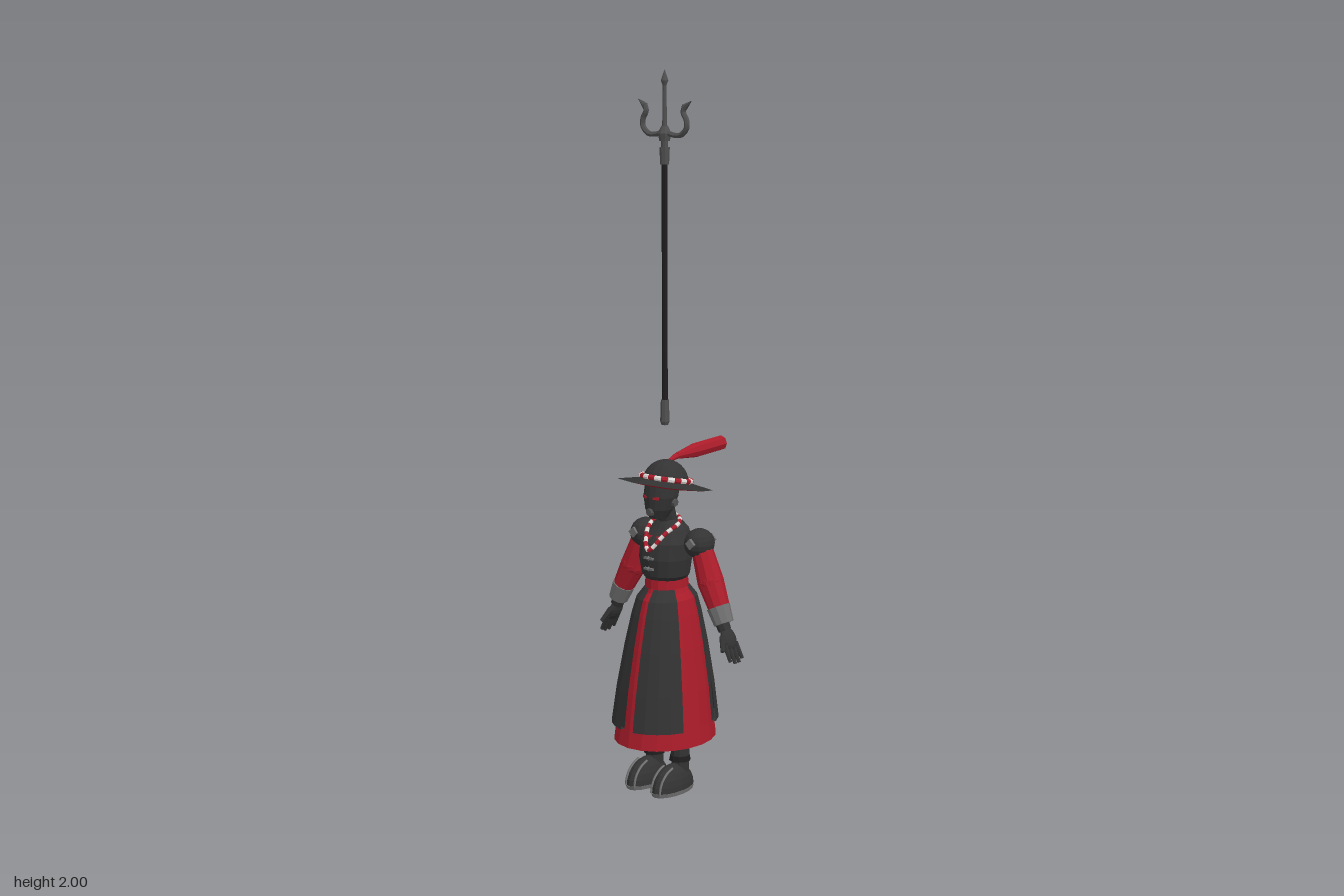
import * as THREE from 'three';

const mat = (name, color, side = THREE.FrontSide) => {
  const m = new THREE.MeshStandardMaterial({ color, side });
  m.name = name;
  return m;
};

export function createModel() {
  const dark = mat('charcoal cloth', 0x333333, THREE.DoubleSide);
  const black = mat('black shaft', 0x1f1d1d);
  const red = mat('red cloth', 0xaa1c2a, THREE.DoubleSide);
  const grey = mat('grey trim', 0x707070);
  const steel = mat('dark steel', 0x505050);
  const white = mat('white beads', 0xdedad6);
  const root = new THREE.Group();
  const V = (x, y, z) => new THREE.Vector3(x, y, z);
  const rad = THREE.MathUtils.degToRad;

  // faceted mesh
  function add(name, geo, m, pos = [0, 0, 0], parent = root) {
    const g = geo.index ? geo.toNonIndexed() : geo;
    g.computeVertexNormals();
    const mesh = new THREE.Mesh(g, m);
    mesh.name = name;
    mesh.position.set(...pos);
    parent.add(mesh);
    return mesh;
  }
  function group(name, pos, parent = root) {
    const g = new THREE.Group();
    g.name = name;
    g.position.set(...pos);
    parent.add(g);
    return g;
  }
  // tapered cylinder from a to b
  function limb(name, a, b, ra, rb, m, n = 10, parent = root) {
    const d = b.clone().sub(a);
    const mesh = add(name, new THREE.CylinderGeometry(rb, ra, d.length(), n), m, [0, 0, 0], parent);
    mesh.position.copy(a).add(b).multiplyScalar(0.5);
    mesh.quaternion.setFromUnitVectors(V(0, 1, 0), d.normalize());
    return mesh;
  }
  const ball = (name, r, m, pos, parent) =>
    add(name, new THREE.SphereGeometry(1, 14, 10).scale(...r), m, pos, parent);

  // stacked ellipses: [y, rx, rz, cz], bottom to top
  function loft(name, rows, m, n = 16) {
    const pts = rows.map((r, i) => new THREE.Vector2(1, i));
    const g = new THREE.LatheGeometry(pts, n);
    const p = g.attributes.position;
    for (let i = 0; i < p.count; i++) {
      const [y, rx, rz, cz] = rows[Math.round(p.getY(i))];
      p.setXYZ(i, p.getX(i) * rx, y, p.getZ(i) * rz + cz);
    }
    return add(name, g, m);
  }
  // closed string of beads in two colours
  function beads(name, curve, count, r, parent = root) {
    const g = group(name, [0, 0, 0], parent);
    for (let i = 0; i < count; i++) {
      const a = curve.getPointAt(i / count), b = curve.getPointAt((i + 1) / count);
      limb('bead', a, b, r, r, i % 2 ? white : red, 8, g);
    }
  }

  // skirt and its four overlaid panels
  const skirtRows = [[0.135, 0.15], [0.129, 0.2], [0.119, 0.3], [0.102, 0.42], [0.086, 0.51], [0.075, 0.555], [0.054, 0.585]];
  function skirtPart(name, profile, m, seg, start, len) {
    const g = new THREE.LatheGeometry(profile.map(([r, y]) => new THREE.Vector2(r, y)), seg, start, len);
    const p = g.attributes.position;
    for (let i = 0; i < p.count; i++) {
      p.setZ(i, p.getZ(i) * 1.15 + 0.043 - p.getY(i) * 0.02);
    }
    add(name, g, m);
  }
  skirtPart('skirt', skirtRows, red, 20, 0, Math.PI * 2);
  const outer = skirtRows.slice(1).map(([r, y]) => [r + 0.004 + (0.585 - y) * 0.022, y]);
  const inner = skirtRows.slice(1).map(([r, y]) => [r + 0.001, y]).reverse();
  for (const deg of [9, 115, 189, 295]) {
    skirtPart('skirtPanel', [...outer, ...inner, outer[0]], dark, 4, rad(deg), rad(56));
  }

  // sash, bodice, neck and head
  loft('sash', [[0.565, 0.066, 0.074, 0.032], [0.585, 0.057, 0.066, 0.032], [0.612, 0.055, 0.064, 0.033]], red);
  loft('bodice', [[0.605, 0.05, 0.06, 0.033], [0.622, 0.068, 0.066, 0.036], [0.67, 0.077, 0.071, 0.037],
    [0.715, 0.077, 0.066, 0.034], [0.75, 0.06, 0.048, 0.022], [0.775, 0.03, 0.03, 0.022]], dark);
  limb('neck', V(0, 0.76, 0.025), V(0, 0.83, 0.045), 0.027, 0.025, dark);
  loft('head', [[0.783, 0.001, 0.001, 0.065], [0.785, 0.024, 0.028, 0.066], [0.81, 0.039, 0.041, 0.062],
    [0.845, 0.048, 0.049, 0.056], [0.89, 0.046, 0.048, 0.05]], dark);
  for (const s of [1, -1]) {
    const eye = add('eye', new THREE.BoxGeometry(0.018, 0.007, 0.004), red, [s * 0.02, 0.845, 0.1]);
    eye.rotation.y = s * 0.42;
    limb('earDisc', V(s * 0.042, 0.83, 0.05), V(s * 0.05, 0.83, 0.05), 0.013, 0.01, steel, 8);
  }
  limb('mouthGuard', V(0, 0.805, 0.09), V(0, 0.805, 0.108), 0.014, 0.01, steel, 8);

  // neckline
  const tri = new THREE.Shape([new THREE.Vector2(-0.032, 0.046), new THREE.Vector2(0, 0), new THREE.Vector2(0.032, 0.046)]);
  add('neckScarf', new THREE.ShapeGeometry(tri), red, [0, 0.697, 0.109]).rotation.x = -0.62;
  const neckPts = [[0, 0.697, 0.11], [0.034, 0.745, 0.076], [0.043, 0.768, 0.03], [0, 0.778, -0.006],
    [-0.043, 0.768, 0.03], [-0.034, 0.745, 0.076]];
  beads('necklace', new THREE.CatmullRomCurve3(neckPts.map(p => V(...p)), true), 24, 0.006);
  for (const y of [0.645, 0.675]) {
    add('clasp', new THREE.BoxGeometry(0.032, 0.006, 0.008), grey, [0, y, 0.107]);
    add('claspKnob', new THREE.OctahedronGeometry(0.008), grey, [0, y, 0.108]);
  }

  // arms and legs
  for (const s of [1, -1]) {
    const P = (x, y, z) => V(s * x, y, z);
    const arm = group(s > 0 ? 'leftArm' : 'rightArm', [0, 0, 0]);
    ball('shoulderPuff', [0.042, 0.042, 0.045], dark, [s * 0.1, 0.716, 0.01], arm);
    for (const f of [1, -1]) {
      const stud = add('shoulderStud', new THREE.BoxGeometry(0.022, 0.022, 0.008), grey, [s * 0.105, 0.722, 0.01 + f * 0.044], arm);
      stud.rotation.z = Math.PI / 4;
    }
    limb('upperSleeve', P(0.11, 0.7, 0.01), P(0.143, 0.615, 0.012), 0.03, 0.037, red, 10, arm);
    ball('elbow', [0.037, 0.037, 0.037], red, [s * 0.143, 0.615, 0.012], arm);
    limb('lowerSleeve', P(0.143, 0.615, 0.012), P(0.185, 0.535, 0.018), 0.037, 0.029, red, 10, arm);
    limb('cuff', P(0.176, 0.552, 0.018), P(0.197, 0.508, 0.019), 0.033, 0.028, grey, 10, arm);
    const hand = group('hand', [s * 0.192, 0.508, 0.02], arm);
    hand.rotation.z = s * 0.47;
    limb('wrist', V(0, 0.01, 0), V(0, -0.022, 0), 0.02, 0.018, dark, 8, hand);
    ball('palm', [0.014, 0.033, 0.027], dark, [0, -0.045, -0.003], hand);
    for (let i = 0; i < 4; i++) {
      const z = -0.024 + i * 0.0145;
      limb('finger', V(0, -0.06, z), V(0, -0.108 - (i % 3 ? 0.008 : 0), z * 1.15), 0.007, 0.005, dark, 6, hand);
    }
    limb('thumb', V(0, -0.035, 0.018), V(0, -0.075, 0.038), 0.009, 0.006, dark, 6, hand);

    const leg = group(s > 0 ? 'leftLeg' : 'rightLeg', [s * 0.048, 0, 0]);
    limb('thigh', V(0, 0.13, 0.03), V(0, 0.5, 0.03), 0.03, 0.036, dark, 10, leg);
    limb('shin', V(0, 0.05, 0.03), V(0, 0.14, 0.03), 0.025, 0.027, dark, 10, leg);
    limb('bootTop', V(0, 0.085, 0.032), V(0, 0.1, 0.032), 0.031, 0.028, black, 10, leg);
    const shoe = new THREE.SphereGeometry(1, 16, 12).scale(0.039, 0.072, 0.078);
    const p = shoe.attributes.position;
    for (let i = 0; i < p.count; i++) p.setY(i, Math.max(p.getY(i), 0) + 0.008);
    add('shoe', shoe, dark, [0, 0, 0.062], leg);
    add('sole', new THREE.CylinderGeometry(0.04, 0.038, 0.011, 16).scale(1, 1, 2), grey, [0, 0.0055, 0.062], leg);
    // straps over the toe
    for (const x of [-0.016, 0.016]) {
      const pts = [0, 15, 30, 45, 60, 75].map(d =>
        V(x, 0.01 + 0.067 * Math.sin(rad(d)), 0.062 + 0.072 * Math.cos(rad(d))));
      add('shoeStrap', new THREE.TubeGeometry(new THREE.CatmullRomCurve3(pts), 10, 0.0035, 5), grey, [0, 0, 0], leg);
    }
  }

  // hat, tipped up at the front
  const hat = group('hat', [0, 0.876, 0.038]);
  hat.rotation.x = -0.2;
  add('brimTop', new THREE.CylinderGeometry(0.06, 0.133, 0.014, 8), dark, [0, 0.003, 0], hat);
  add('brimUnderside', new THREE.CylinderGeometry(0.132, 0.06, 0.008, 8), red, [0, -0.008, 0], hat);
  add('crown', new THREE.SphereGeometry(0.064, 16, 8, 0, Math.PI * 2, 0, Math.PI / 2), dark, [0, 0.002, 0], hat);
  const ring = [];
  for (let i = 0; i < 16; i++) ring.push(V(0.07 * Math.sin(i * Math.PI / 8), 0.014, 0.07 * Math.cos(i * Math.PI / 8)));
  beads('hatBand', new THREE.CatmullRomCurve3(ring, true), 24, 0.0075, hat);

  // plume sweeping back
  limb('plumeStem', V(0, 0.934, 0.03), V(0, 0.945, -0.01), 0.004, 0.009, red, 8);
  limb('plumeTaper', V(0, 0.945, -0.01), V(0, 0.949, -0.09), 0.009, 0.021, red, 8);
  limb('plumeEnd', V(0, 0.949, -0.09), V(0, 0.953, -0.2), 0.021, 0.021, red, 8);

  // trident floating overhead
  const trident = group('trident', [0, 0, 0.04]);
  const rod = (name, y0, y1, r0, r1, m) => limb(name, V(0, y0, 0), V(0, y1, 0), r0, r1, m, 8, trident);
  rod('shaft', 1.08, 1.77, 0.008, 0.008, black);
  rod('buttCap', 1.04, 1.05, 0.009, 0.013, steel);
  rod('buttGrip', 1.05, 1.11, 0.013, 0.011, steel);
  rod('socket', 1.75, 1.795, 0.012, 0.014, steel);
  rod('socketNeck', 1.795, 1.815, 0.009, 0.009, steel);
  rod('hub', 1.812, 1.832, 0.014, 0.018, steel);
  rod('hubTop', 1.832, 1.852, 0.018, 0.009, steel);
  rod('centreProng', 1.845, 1.965, 0.0065, 0.005, steel);
  rod('spearBase', 1.958, 1.972, 0.005, 0.01, steel);
  rod('spearTip', 1.972, 2.0, 0.01, 0.0005, steel);
  for (const s of [1, -1]) {
    const pts = [[0, 1.838], [0.03, 1.829], [0.058, 1.83], [0.078, 1.85], [0.076, 1.872], [0.066, 1.89], [0.072, 1.908]];
    const curve = new THREE.CatmullRomCurve3(pts.map(([x, y]) => V(s * x, y, 0)));
    add('sideProng', new THREE.TubeGeometry(curve, 24, 0.0075, 6), steel, [0, 0, 0], trident);
    limb('prongTip', V(s * 0.07, 1.903, 0), V(s * 0.094, 1.92, 0), 0.009, 0.001, steel, 6, trident);
  }
  return root;
}
